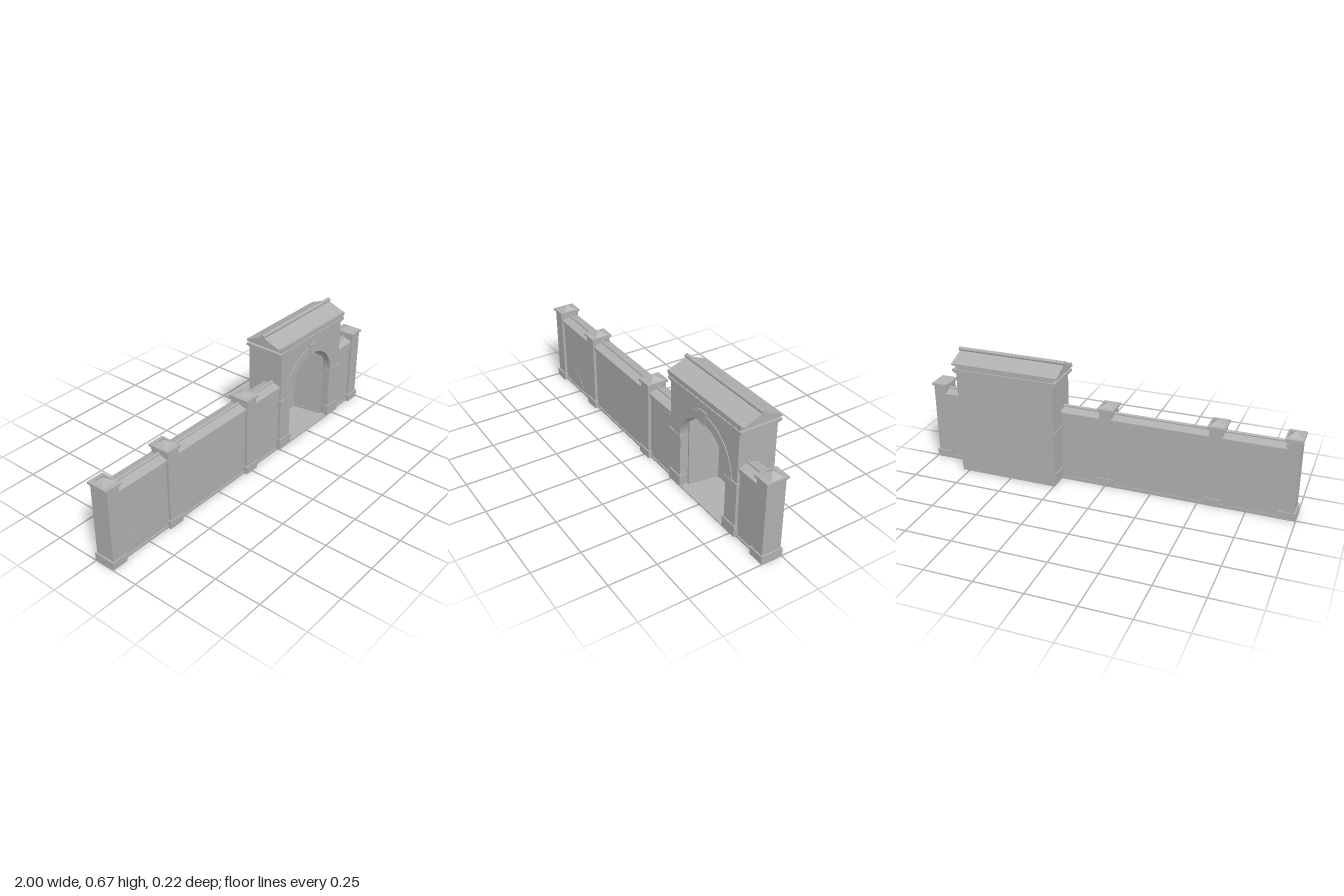
import * as THREE from 'three';

const stone = new THREE.MeshStandardMaterial({ color: 0xb0b0b0 });
stone.name = 'grey stone';

function add(group, name, geometry) {
  const mesh = new THREE.Mesh(geometry, stone);
  mesh.name = name;
  group.add(mesh);
  return mesh;
}

// Box given by its limits on each axis
function block(group, name, x0, x1, y0, y1, z0, z1) {
  const mesh = add(group, name, new THREE.BoxGeometry(x1 - x0, y1 - y0, z1 - z0));
  mesh.position.set((x0 + x1) / 2, (y0 + y1) / 2, (z0 + z1) / 2);
  return mesh;
}

// Extrudes a shape drawn in x, y from z0 to z1
function plate(group, name, shape, z0, z1) {
  const geo = new THREE.ExtrudeGeometry(shape, { depth: z1 - z0, bevelEnabled: false, curveSegments: 24 });
  geo.translate(0, 0, z0);
  return add(group, name, geo);
}

// Sweeps a (z, y) profile along x
function sweepX(group, name, points, x0, x1) {
  const shape = new THREE.Shape(points.map(([z, y]) => new THREE.Vector2(-z, y)));
  const geo = new THREE.ExtrudeGeometry(shape, { depth: x1 - x0, bevelEnabled: false });
  geo.rotateY(Math.PI / 2);
  geo.translate(x0, 0, 0);
  return add(group, name, geo);
}

function ridgeRoll(group, x0, x1, y, z, r) {
  const roll = add(group, 'ridgeRoll', new THREE.CylinderGeometry(r, r, x1 - x0, 16));
  roll.rotation.z = Math.PI / 2;
  roll.position.set((x0 + x1) / 2, y, z);
}

// Row of hanging eave tiles with rounded lower edges
function scallops(group, x0, x1, top, mid, low, z0, z1, pitch) {
  const n = Math.max(1, Math.round((x1 - x0) / pitch));
  const w = (x1 - x0) / n;
  const shape = new THREE.Shape();
  shape.moveTo(x1, top);
  shape.lineTo(x0, top);
  shape.lineTo(x0, mid);
  for (let i = 0; i < n; i++) {
    const x = x0 + i * w;
    shape.quadraticCurveTo(x + w / 2, 2 * low - mid, x + w, mid);
  }
  const geo = new THREE.ExtrudeGeometry(shape, { depth: z1 - z0, bevelEnabled: false, curveSegments: 6 });
  geo.translate(0, 0, z0);
  add(group, 'eaveTiles', geo);
}

function makePillar(x) {
  const g = new THREE.Group();
  g.name = 'pillar';
  block(g, 'pillarBase', x - 0.043, x + 0.043, 0, 0.041, -0.006, 0.112);
  block(g, 'pillarShaft', x - 0.035, x + 0.035, 0.041, 0.428, 0, 0.105);
  block(g, 'pillarCap', x - 0.045, x + 0.045, 0.428, 0.44, -0.007, 0.112);
  const geo = new THREE.ConeGeometry(0.038 * Math.SQRT2, 0.025, 4);
  geo.rotateY(Math.PI / 4);
  const mesh = add(g, 'pillarPyramid', geo.toNonIndexed());
  mesh.geometry.computeVertexNormals();
  mesh.position.set(x, 0.4525, 0.05);
  return g;
}

function makeWall(x0, x1) {
  const g = new THREE.Group();
  g.name = 'wall';
  block(g, 'wallPanel', x0, x1, 0, 0.388, 0.006, 0.09);
  block(g, 'wallPlinth', x0, x1, 0, 0.012, 0.002, 0.096);
  sweepX(g, 'wallCoping', [[-0.008, 0.384], [0.1, 0.384], [0.1, 0.389], [0.047, 0.405], [-0.008, 0.389]], x0, x1);
  ridgeRoll(g, x0, x1, 0.406, 0.047, 0.008);
  scallops(g, x0, x1, 0.387, 0.379, 0.37, 0.096, 0.1, 0.04);
  return g;
}

function makeGate() {
  const g = new THREE.Group();
  g.name = 'gatehouse';
  const cx = 0.515, half = 0.27, r = 0.185, spring = 0.298;

  // Body with the arched recess, closed at the back
  const body = new THREE.Shape();
  body.moveTo(cx - half, 0);
  body.lineTo(cx - r, 0);
  body.lineTo(cx - r, spring);
  body.absarc(cx, spring, r, Math.PI, 0, true);
  body.lineTo(cx + r, 0);
  body.lineTo(cx + half, 0);
  body.lineTo(cx + half, 0.607);
  body.lineTo(cx - half, 0.607);
  plate(g, 'gateBody', body, -0.1, 0.105);
  block(g, 'gateBackWall', cx - half, cx + half, 0, 0.607, -0.105, -0.099);
  block(g, 'gateFloor', cx - r, cx + r, 0, 0.007, -0.1, 0.106);

  // Raised arch moulding and keystone
  const ring = new THREE.Shape();
  ring.absarc(cx, spring, 0.232, 0, Math.PI, false);
  ring.absarc(cx, spring, r, Math.PI, 0, true);
  plate(g, 'archMoulding', ring, 0.104, 0.109);
  const key = new THREE.Shape([[-0.02, 0.476], [0.02, 0.476], [0.03, 0.545], [-0.03, 0.545]]
    .map(([x, y]) => new THREE.Vector2(cx + x, y)));
  plate(g, 'keystone', key, 0.1, 0.112);

  for (const s of [-1, 1]) {
    // Jamb bases and imposts wrap around the sides
    const a = cx + s * (r - 0.006), b = cx + s * (half + 0.005);
    const x0 = Math.min(a, b), x1 = Math.max(a, b);
    block(g, 'jambBase', x0, x1, 0.007, 0.067, 0.08, 0.112);
    block(g, 'jambImpost', x0, x1, 0.288, 0.308, 0.08, 0.112);
    const c = cx + s * (half - 0.01);
    block(g, 'sideBase', Math.min(b, c), Math.max(b, c), 0.007, 0.067, -0.1, 0.1);
    block(g, 'sideBand', Math.min(b, c), Math.max(b, c), 0.288, 0.308, -0.1, 0.1);

    // Door leaf swung inwards, with cross rails
    const door = new THREE.Group();
    door.name = 'doorLeaf';
    block(door, 'doorPanel', -0.004, 0.004, 0.01, 0.4, -0.082, 0.082);
    for (const y of [0.02, 0.085, 0.24, 0.385]) block(door, 'doorRail', -0.006, 0.006, y - 0.007, y + 0.007, -0.082, 0.082);
    door.position.set(cx + s * 0.157, 0, -0.015);
    door.rotation.y = s * 0.17;
    g.add(door);
  }

  // Cornice, gabled roof, ridge and eave tiles
  block(g, 'lowerCornice', cx - 0.28, cx + 0.28, 0.568, 0.577, -0.108, 0.107);
  block(g, 'upperCornice', cx - 0.288, cx + 0.288, 0.577, 0.59, -0.112, 0.112);
  sweepX(g, 'gateRoof', [[-0.105, 0.607], [0.105, 0.607], [0.105, 0.617], [0, 0.657], [-0.105, 0.617]], cx - 0.295, cx + 0.295);
  ridgeRoll(g, cx - 0.3, cx + 0.3, 0.662, 0, 0.011);
  scallops(g, cx - 0.29, cx + 0.29, 0.622, 0.606, 0.594, 0.1, 0.112, 0.04);
  return g;
}

export function createModel() {
  const model = new THREE.Group();
  model.name = 'gateAndWall';
  for (const x of [-0.955, -0.577, 0, 0.955]) model.add(makePillar(x));
  for (const [x0, x1] of [[-0.925, -0.607], [-0.547, -0.03], [0.03, 0.25], [0.78, 0.925]]) model.add(makeWall(x0, x1));
  model.add(makeGate());

  // Thin plaster patches on the wall
  const patch = (points) => plate(model, 'plasterPatch',
    new THREE.Shape(points.map(([x, y]) => new THREE.Vector2(x, y))), 0.089, 0.0915);
  patch([[-0.87, 0.035], [-0.71, 0.035], [-0.76, 0.09], [-0.83, 0.13], [-0.87, 0.1]]);
  patch([[0.1, 0.35], [0.11, 0.31], [0.2, 0.285], [0.245, 0.29], [0.245, 0.36]]);
  return model;
}
